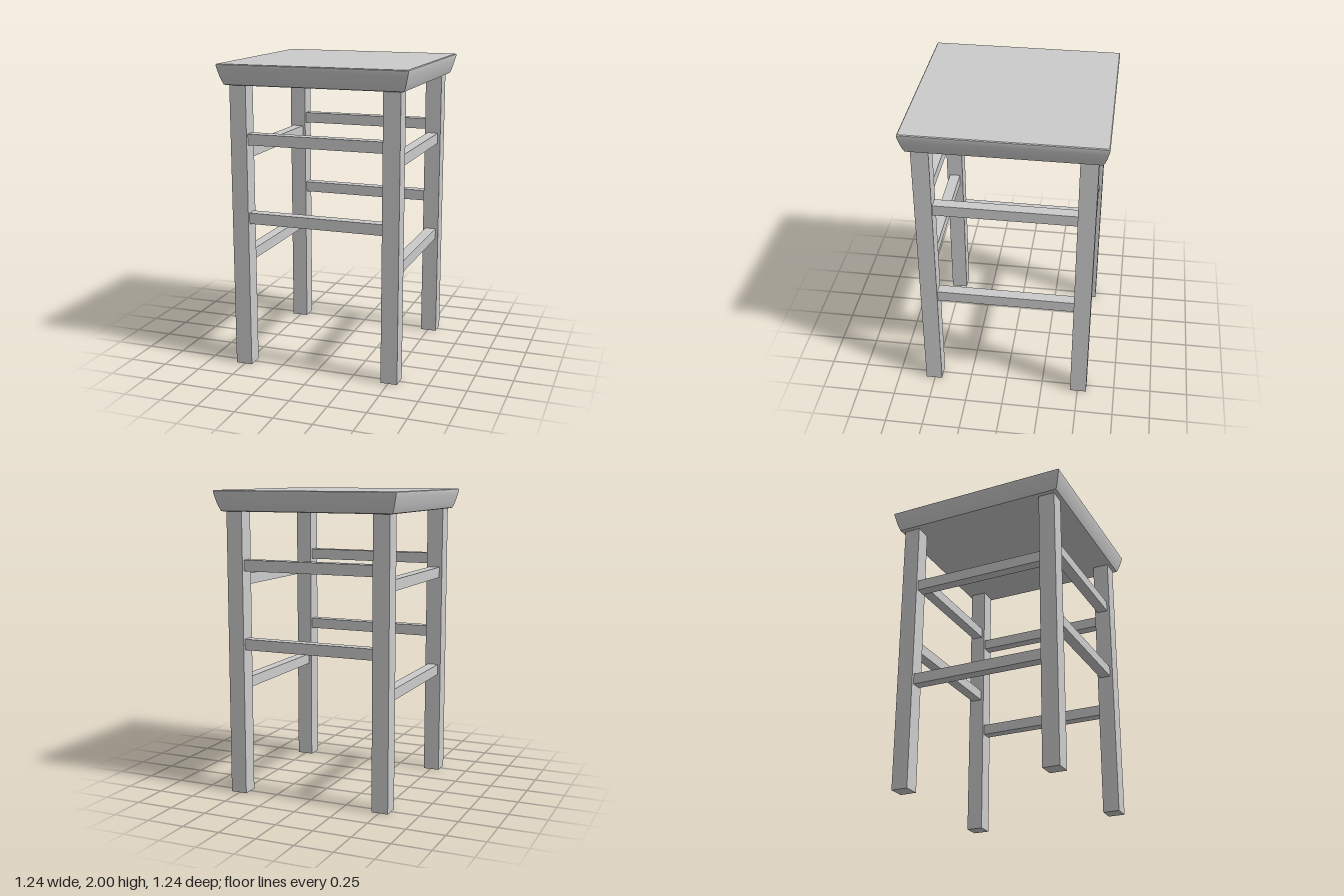
import * as THREE from 'three';
import { toCreasedNormals } from 'three/addons/utils/BufferGeometryUtils.js';

const material = new THREE.MeshStandardMaterial({ color: 0xcccccc });
const TOP = 2, SEAT_BOTTOM = 1.865, LEG = 0.11, LEG_AT = 0.505, RAIL = 0.072;

function addBox(parent, name, size, position) {
  const mesh = new THREE.Mesh(new THREE.BoxGeometry(...size), material);
  mesh.name = name;
  mesh.position.set(...position);
  parent.add(mesh);
}

// Square seat whose edge curves outward: a four-sided lathe of [half width, y]
function createSeat() {
  const profile = [
    [0, SEAT_BOTTOM], [0.575, SEAT_BOTTOM], [0.585, 1.869], [0.594, 1.89],
    [0.604, 1.92], [0.613, 1.955], [0.62, 1.985], [0.62, 1.995], [0.615, TOP], [0, TOP],
  ].map(([half, y]) => new THREE.Vector2(half * Math.SQRT2, y));
  const geometry = new THREE.LatheGeometry(profile, 4, Math.PI / 4);
  const seat = new THREE.Mesh(toCreasedNormals(geometry, 0.6), material);
  seat.name = 'seat';
  return seat;
}

export function createModel() {
  const stool = new THREE.Group();
  stool.name = 'stool';
  stool.add(createSeat());

  // Four square legs
  for (const [xName, x] of [['Left', 1], ['Right', -1]]) {
    for (const [zName, z] of [['front', 1], ['back', -1]]) {
      addBox(stool, `${zName}${xName}Leg`, [LEG, SEAT_BOTTOM, LEG],
        [x * LEG_AT, SEAT_BOTTOM / 2, z * LEG_AT]);
    }
  }

  // Two rails per side, at staggered heights on neighbouring sides
  const span = 2 * LEG_AT - LEG;
  for (const [level, frontY, sideY] of [['Upper', 1.52, 1.425], ['Lower', 1.004, 0.735]]) {
    for (const s of [1, -1]) {
      addBox(stool, `${s > 0 ? 'front' : 'back'}${level}Rail`, [span, RAIL, RAIL],
        [0, frontY, s * LEG_AT]);
      addBox(stool, `${s > 0 ? 'left' : 'right'}${level}Rail`, [RAIL, RAIL, span],
        [s * LEG_AT, sideY, 0]);
    }
  }
  return stool;
}
